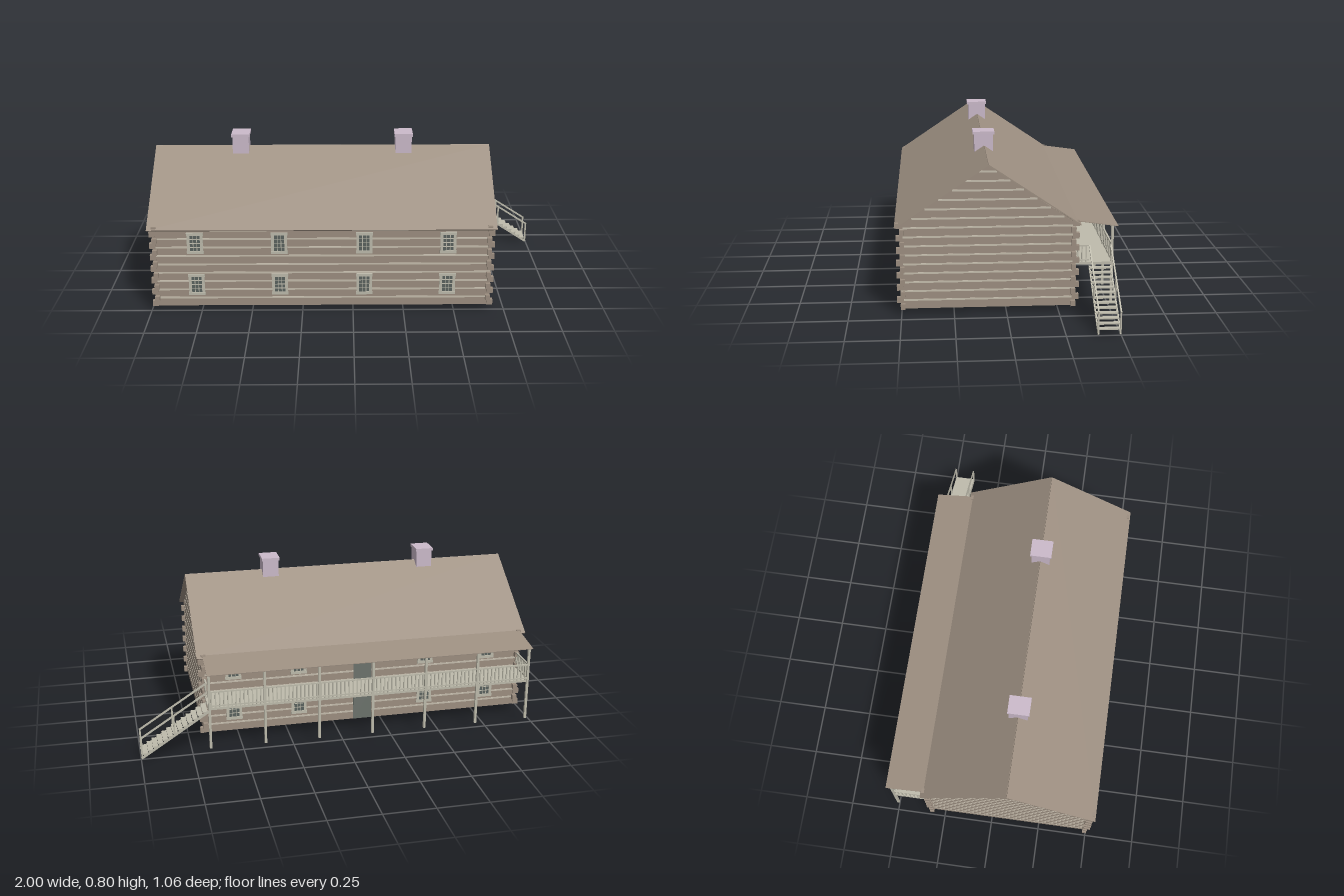
import * as THREE from 'three';

const mat = (name, color, side = THREE.FrontSide) => {
  const m = new THREE.MeshStandardMaterial({ color, side });
  m.name = name;
  return m;
};

export function createModel() {
  const logMat = mat('log brown', 0x9c8e80);
  const roofMat = mat('roof brown', 0x9e9082, THREE.DoubleSide);
  const chinkMat = mat('chinking', 0xc6beae);
  const timberMat = mat('weathered timber', 0xbebbac);
  const glassMat = mat('dark glass', 0x5a625e);
  const doorMat = mat('door', 0x6c726c);
  const stoneMat = mat('chimney stone', 0xcbbaca, THREE.DoubleSide);

  const model = new THREE.Group();
  model.name = 'logHouse';
  const part = (name, parent = model) => {
    const g = new THREE.Group();
    g.name = name;
    parent.add(g);
    return g;
  };
  const add = (parent, name, geo, material) => {
    const m = new THREE.Mesh(geo, material);
    m.name = name;
    parent.add(m);
    return m;
  };
  // Box given by its lower and upper corners
  const box = (parent, name, material, x0, x1, y0, y1, z0, z1) => {
    const m = add(parent, name, new THREE.BoxGeometry(x1 - x0, y1 - y0, z1 - z0), material);
    m.position.set((x0 + x1) / 2, (y0 + y1) / 2, (z0 + z1) / 2);
    return m;
  };
  // Square bar between two points in an x-y plane
  const bar = (parent, name, xa, ya, xb, yb, z, h, d) => {
    const m = add(parent, name, new THREE.BoxGeometry(Math.hypot(xb - xa, yb - ya), h, d), timberMat);
    m.position.set((xa + xb) / 2, (ya + yb) / 2, z);
    m.rotation.z = Math.atan2(yb - ya, xb - xa);
    return m;
  };

  // Main dimensions
  const X0 = -0.975, X1 = 0.675, ZF = 0.5, ZB = -0.325;
  const base = 0.03, eave = 0.44, ridge = 0.73, zr = 0.087, t = 0.012;

  // Long walls
  const walls = part('walls');
  box(walls, 'frontWall', logMat, X0, X1, base, eave, ZF - t, ZF);
  box(walls, 'backWall', logMat, X0, X1, base, eave, ZB, ZB + t);

  // Gable walls
  const gable = new THREE.Shape([[-ZF, base], [-ZB, base], [-ZB, eave], [-zr, ridge], [-ZF, eave]]
    .map(p => new THREE.Vector2(...p)));
  const gableGeo = new THREE.ExtrudeGeometry(gable, { depth: t, bevelEnabled: false });
  gableGeo.rotateY(Math.PI / 2);
  add(walls, 'leftGable', gableGeo, logMat).position.x = X1 - t;
  add(walls, 'rightGable', gableGeo, logMat).position.x = X0;

  // Chinking strips between the logs
  const chinking = part('chinking');
  for (let i = 0; i < 15; i++) {
    const y = 0.073 + i * 0.0445, h = 0.0045;
    if (y < eave) {
      box(chinking, 'frontChink', chinkMat, X0, X1, y - h, y + h, ZF - 0.002, ZF + 0.0015);
      box(chinking, 'backChink', chinkMat, X0, X1, y - h, y + h, ZB - 0.0015, ZB + 0.002);
    }
    const k = Math.min(1, (ridge - y - h) / (ridge - eave));
    const za = zr + (ZB - zr) * k, zb = zr + (ZF - zr) * k;
    box(chinking, 'leftChink', chinkMat, X1 - 0.002, X1 + 0.0015, y - h, y + h, za, zb);
    box(chinking, 'rightChink', chinkMat, X0 - 0.0015, X0 + 0.002, y - h, y + h, za, zb);
  }

  // Interlocking log ends at the four corners
  const ends = part('logEnds');
  for (let i = 0; i < 7; i++) {
    const y = base + i * 0.061;
    for (const sx of [-1, 1]) for (const sz of [-1, 1]) {
      const x = sx > 0 ? X1 : X0, z = sz > 0 ? ZF : ZB;
      const span = (a, b) => [Math.min(a, b), Math.max(a, b)];
      box(ends, 'longLogEnd', logMat, ...span(x - sx * 0.012, x + sx * 0.018), y, y + 0.027,
        ...span(z - sz * 0.018, z + sz * 0.004));
      box(ends, 'crossLogEnd', logMat, ...span(x - sx * 0.02, x + sx * 0.003), y + 0.0305, y + 0.0565,
        ...span(z - sz * 0.012, z + sz * 0.021));
    }
  }

  // Thin roof slope between two z-y points
  const slope = (name, x0, x1, za, ya, zb, yb, thick) => {
    const m = add(model, name, new THREE.BoxGeometry(x1 - x0, thick, Math.hypot(zb - za, yb - ya)), roofMat);
    m.position.set((x0 + x1) / 2, (ya + yb) / 2, (za + zb) / 2);
    m.rotation.x = -Math.atan2(yb - ya, zb - za);
  };
  slope('frontRoof', -1, 0.7, zr, 0.733, 0.526, 0.437, 0.006);
  slope('backRoof', -1, 0.7, -0.35, 0.437, zr, 0.733, 0.006);
  slope('porchRoof', -0.972, 0.672, -0.53, 0.421, -0.325, 0.45, 0.003);

  // Chimneys, open at the foot
  for (const x of [-0.565, 0.26]) {
    const g = part('chimney');
    const shaft = new THREE.CylinderGeometry(Math.SQRT1_2, Math.SQRT1_2, 1, 4, 1, true, Math.PI / 4).toNonIndexed();
    shaft.scale(0.082, 0.765, 0.093);
    shaft.computeVertexNormals();
    add(g, 'chimneyShaft', shaft, stoneMat).position.set(x, 0.4125, 0.089);
    box(g, 'chimneyCap', stoneMat, x - 0.046, x + 0.046, 0.793, 0.807, 0.036, 0.143);
  }

  // Framed window with glazing bars, facing +z
  const makeWindow = (x, y, z, turned) => {
    const g = part('window');
    g.position.set(x, y, z);
    if (turned) g.rotation.y = Math.PI;
    box(g, 'glass', glassMat, -0.028, 0.028, -0.043, 0.043, 0, 0.003);
    for (const s of [-1, 1]) {
      box(g, 'frameSide', timberMat, s * 0.032 - 0.007, s * 0.032 + 0.007, -0.055, 0.055, 0, 0.007);
      box(g, 'frameRail', timberMat, -0.041, 0.041, s * 0.048 - 0.007, s * 0.048 + 0.007, 0, 0.008);
      box(g, 'upright', timberMat, s * 0.009 - 0.0015, s * 0.009 + 0.0015, -0.043, 0.043, 0, 0.005);
    }
    for (const b of [-0.021, 0, 0.021])
      box(g, 'crossbar', timberMat, -0.028, 0.028, b - 0.0015, b + 0.0015, 0, 0.005);
  };
  for (const y of [0.145, 0.363]) {
    for (const x of [-0.77, -0.36, 0.055, 0.465]) makeWindow(x, y, ZF, false);
    for (const x of [-0.8, -0.47, 0.19, 0.52]) makeWindow(x, y, ZB, true);
  }

  // Back doors, one per storey
  for (const y of [0.032, 0.247])
    box(model, 'door', doorMat, -0.187, -0.093, y, y + 0.165, ZB - 0.006, ZB);

  // Porch deck, posts and railing
  const porch = part('porch');
  const PX0 = -0.968, PX1 = 0.668, PZ = -0.504;
  box(porch, 'deck', timberMat, PX0, PX1, 0.231, 0.243, PZ, ZB);
  for (let i = 0; i < 7; i++) {
    const x = PX0 + 0.006 + (PX1 - PX0 - 0.012) * i / 6;
    box(porch, 'post', timberMat, x - 0.006, x + 0.006, base, 0.423, PZ - 0.006, PZ + 0.006);
  }
  box(porch, 'eaveBeam', timberMat, PX0, PX1, 0.412, 0.422, PZ - 0.005, PZ + 0.005);
  const backRail = part('backRailing', porch);
  for (const y of [0.25, 0.322])
    box(backRail, 'rail', timberMat, PX0, PX1, y, y + 0.007, PZ - 0.004, PZ + 0.004);
  for (let x = PX0 + 0.02; x < PX1 - 0.01; x += 0.02)
    box(backRail, 'baluster', timberMat, x - 0.003, x + 0.003, 0.243, 0.323, PZ - 0.003, PZ + 0.003);
  for (const [x, zEnd] of [[PX0 + 0.004, PZ], [PX1 - 0.004, -0.395]]) {
    const g = part('endRailing', porch);
    for (const y of [0.25, 0.322])
      box(g, 'rail', timberMat, x - 0.004, x + 0.004, y, y + 0.007, zEnd, ZB);
    for (let z = ZB - 0.015; z > zEnd - 0.001; z -= 0.02)
      box(g, 'baluster', timberMat, x - 0.003, x + 0.003, 0.243, 0.323, z - 0.003, z + 0.003);
  }

  // Outside stairs with stringers, treads and handrails
  const stairs = part('stairs');
  for (const z of [-0.396, -0.498]) {
    bar(stairs, 'stringer', 0.667, 0.222, 0.997, 0.007, z, 0.011, 0.007);
    bar(stairs, 'handrail', 0.667, 0.325, 0.998, 0.112, z, 0.008, 0.007);
    for (const x of [0.835, 0.995]) {
      const y = 0.222 - (x - 0.667) * 0.652;
      box(stairs, 'railPost', timberMat, x - 0.004, x + 0.004, y, y + 0.103, z - 0.0035, z + 0.0035);
    }
  }
  for (let i = 0; i < 13; i++) {
    const x = 0.685 + i * 0.0245, y = 0.22 - i * 0.016;
    box(stairs, 'tread', timberMat, x - 0.014, x + 0.011, y - 0.003, y + 0.003, -0.498, -0.396);
  }
  return model;
}
